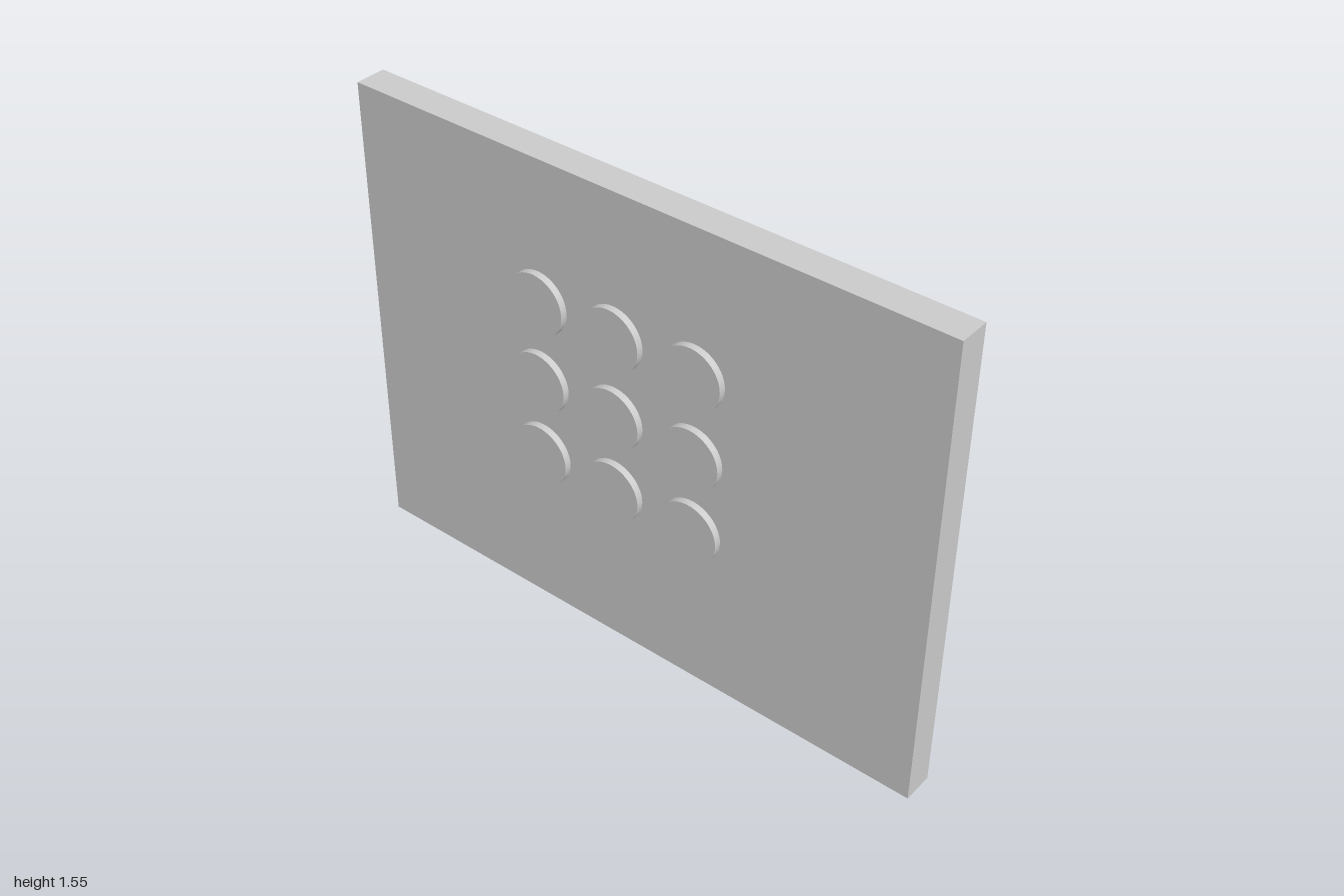
import * as THREE from 'three';

export function createModel() {
  const model = new THREE.Group();
  const material = new THREE.MeshStandardMaterial({ color: 0xcccccc });

  // Upright slab
  const panel = new THREE.Mesh(new THREE.BoxGeometry(0.1, 1.555, 2), material);
  panel.name = 'panel';
  panel.position.set(0.011, 0.7775, 0);
  model.add(panel);

  // Three by three grid of round buttons on the -x face, sunk slightly into the panel
  const buttons = new THREE.Group();
  buttons.name = 'buttons';
  const disc = new THREE.CylinderGeometry(0.101, 0.101, 0.03, 48).rotateZ(Math.PI / 2);
  for (const y of [0.565, 0.826, 1.096]) {
    for (const z of [-0.332, -0.06, 0.22]) {
      const button = new THREE.Mesh(disc, material);
      button.name = 'button';
      button.position.set(-0.046, y, z);
      buttons.add(button);
    }
  }
  model.add(buttons);

  return model;
}
